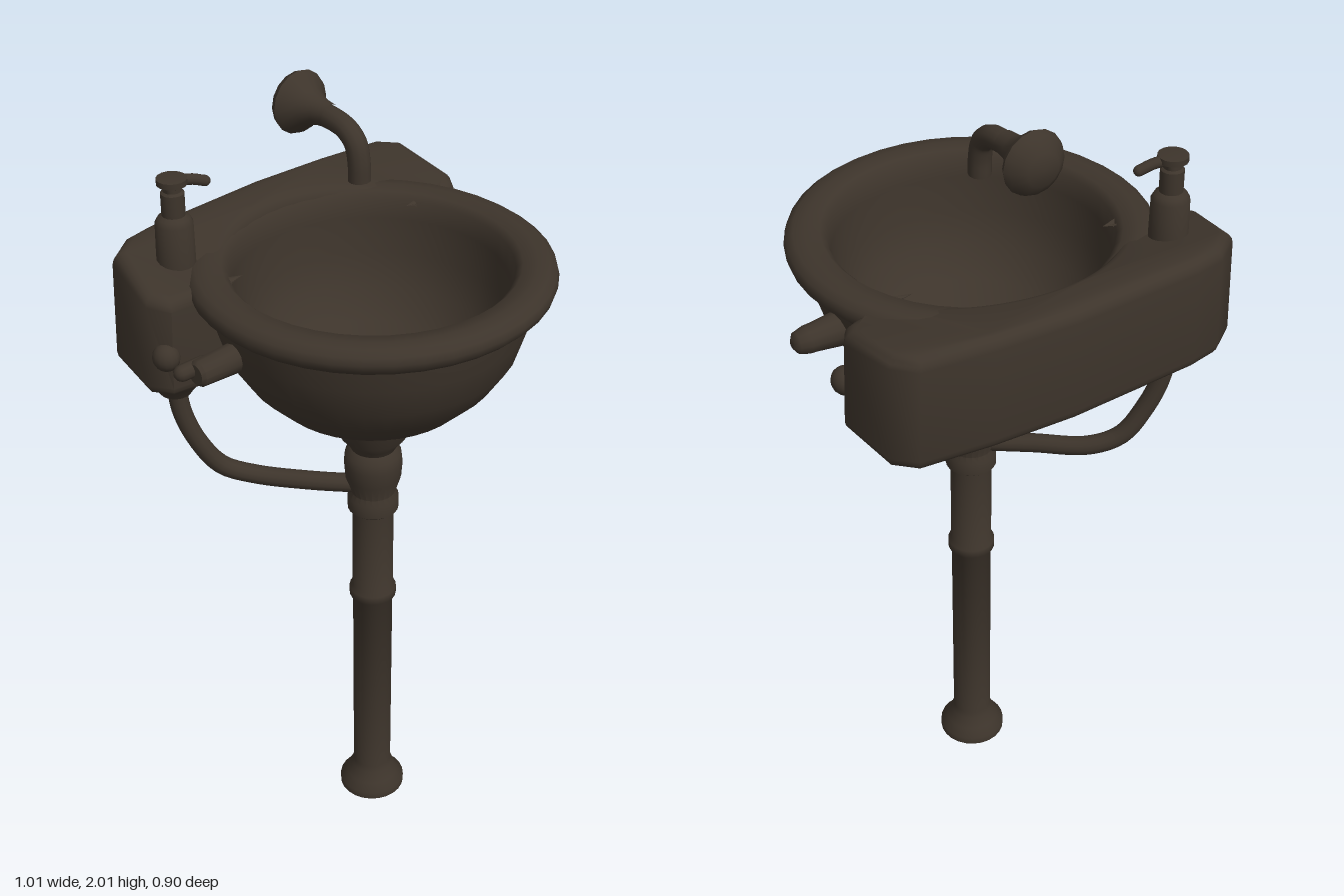
import * as THREE from 'three';
import { toCreasedNormals } from 'three/addons/utils/BufferGeometryUtils.js';

export function createModel() {
  const model = new THREE.Group();
  const iron = new THREE.MeshStandardMaterial({ color: 0x3d342b });
  iron.name = 'dark brown';

  const add = (name, geometry, x = 0, y = 0, z = 0) => {
    const mesh = new THREE.Mesh(geometry, iron);
    mesh.name = name;
    mesh.position.set(x, y, z);
    model.add(mesh);
    return mesh;
  };
  // turned part from [radius, height] pairs, listed bottom to top on the outside
  const turned = (points, sides = 24) =>
    toCreasedNormals(new THREE.LatheGeometry(points.map(p => new THREE.Vector2(...p)), sides), 0.8);
  const tube = (points, radius, steps = 24) =>
    new THREE.TubeGeometry(new THREE.CatmullRomCurve3(points.map(p => new THREE.Vector3(...p))), steps, radius, 12);

  // Basin: outer bowl, rolled rim, hollow inside
  add('basin', turned([
    [0, 1.2], [0.1, 1.21], [0.16, 1.235], [0.24, 1.285], [0.305, 1.35], [0.35, 1.42], [0.375, 1.5], [0.387, 1.57],
    [0.415, 1.573], [0.43, 1.588], [0.435, 1.605], [0.43, 1.622], [0.413, 1.634], [0.385, 1.637], [0.35, 1.633],
    [0.335, 1.618], [0.328, 1.57], [0.318, 1.48], [0.29, 1.4], [0.235, 1.33], [0.16, 1.285], [0.07, 1.262], [0, 1.258],
  ], 40), 0.015, 0, 0.018);

  // Rear ledge: plan outline wrapped around the basin, rounded edges, top rising to the back
  const plan = new THREE.Shape();
  plan.moveTo(0.32, 0.14);
  [[0.43, 0.145], [0.465, 0.16], [0.49, 0.2], [0.48, 0.37], [0.43, 0.42], [0.25, 0.44], [0.04, 0.45], [-0.3, 0.435],
    [-0.38, 0.42], [-0.45, 0.37], [-0.485, 0.2], [-0.45, 0.15], [-0.29, 0.14]].forEach(p => plan.lineTo(...p));
  plan.absarc(0.015, -0.02, 0.345, Math.PI - 0.482, 0.482, true);
  const ledge = new THREE.ExtrudeGeometry(plan, {
    depth: 0.22, bevelThickness: 0.03, bevelSize: 0.03, bevelOffset: -0.03, bevelSegments: 4, curveSegments: 24,
  });
  ledge.rotateX(-Math.PI / 2);
  const pos = ledge.attributes.position;
  for (let i = 0; i < pos.count; i++) {
    const up = (pos.getY(i) + 0.03) / 0.28;
    const back = THREE.MathUtils.clamp((-pos.getZ(i) - 0.17) / 0.2, 0, 1);
    pos.setY(i, 1.365 + up * (0.255 + 0.04 * back));
    pos.setX(i, pos.getX(i) * (1 - 0.04 * Math.max(0, up - 0.5)));
  }
  add('rearLedge', toCreasedNormals(ledge, 0.9));

  // Pedestal pipe with foot, joint ring, coupling and neck under the basin
  add('pedestalPipe', turned([
    [0, 0], [0.086, 0], [0.086, 0.02], [0.068, 0.04], [0.056, 0.07], [0.05, 0.085], [0.051, 0.65], [0.06, 0.66],
    [0.06, 0.682], [0.052, 0.692], [0.052, 0.925], [0.064, 0.935], [0.064, 0.97], [0.056, 0.985], [0.07, 1.03],
    [0.073, 1.07], [0.07, 1.1], [0.056, 1.115], [0.064, 1.13], [0.084, 1.155], [0.09, 1.185], [0.105, 1.21], [0.13, 1.235],
  ]), 0.015, 0, 0.025);

  // Supply pipe and the funnel it enters below the ledge
  add('supplyPipe', tube([
    [0, 1.0, 0.01], [-0.1, 1.01, -0.08], [-0.2, 1.025, -0.18], [-0.265, 1.06, -0.225],
    [-0.315, 1.14, -0.25], [-0.345, 1.23, -0.268], [-0.355, 1.32, -0.275],
  ], 0.024, 32));
  add('supplyFunnel', turned([
    [0, 1.285], [0.038, 1.29], [0.048, 1.305], [0.065, 1.325], [0.085, 1.35], [0.11, 1.4],
  ]), -0.355, 0, -0.275);

  // Side fittings: tapered stub on the left, lever tap on the right, corner knobs on the ledge
  const stub = add('sideStub', turned([
    [0.042, 0], [0.034, 0.07], [0.033, 0.09], [0.026, 0.115], [0.012, 0.125], [0, 0.125],
  ], 12), 0.38, 1.49, 0.0);
  stub.rotation.z = -Math.PI / 2;
  const tap = add('sideTap', turned([[0.036, 0], [0.032, 0.1], [0.025, 0.108], [0, 0.108]], 12), -0.36, 1.49, -0.04);
  tap.rotation.z = Math.PI / 2;
  const lever = add('tapLever', new THREE.CapsuleGeometry(0.02, 0.06, 4, 10), -0.46, 1.495, -0.06);
  lever.rotation.z = Math.PI / 2;
  for (const x of [-0.455, 0.465]) {
    const knob = add('ledgeKnob', new THREE.SphereGeometry(0.034, 14, 10), x, 1.475, -0.165);
    knob.scale.set(0.95, 1, 1);
  }

  // Soap pump
  add('soapBottle', turned([
    [0.047, 1.6], [0.045, 1.735], [0.038, 1.748], [0.028, 1.755], [0.028, 1.81], [0.022, 1.815],
    [0.022, 1.825], [0.036, 1.832], [0.036, 1.846], [0, 1.85],
  ], 16), -0.33, 0, -0.275);
  add('soapSpout', tube([[-0.33, 1.835, -0.275], [-0.285, 1.832, -0.265], [-0.25, 1.82, -0.256]], 0.013, 8));
  add('spoutTip', new THREE.SphereGeometry(0.013, 10, 8), -0.25, 1.82, -0.256);

  // Floating faucet: flared wall flange, then a pipe bending down
  const flange = add('faucetFlange', turned([
    [0, 0], [0.04, 0.002], [0.07, 0.026], [0.077, 0.042], [0.07, 0.056], [0.045, 0.082], [0.032, 0.115], [0.028, 0.15],
  ], 16), 0.035, 1.928, -0.297);
  flange.rotation.x = Math.PI / 2;
  add('faucetPipe', tube([
    [0.035, 1.925, -0.2], [0.035, 1.924, -0.13], [0.035, 1.915, -0.09], [0.035, 1.89, -0.06],
    [0.035, 1.85, -0.049], [0.035, 1.803, -0.047],
  ], 0.027, 28));
  const outlet = add('faucetOutlet', new THREE.CircleGeometry(0.027, 12), 0.035, 1.804, -0.047);
  outlet.rotation.x = Math.PI / 2;

  return model;
}
